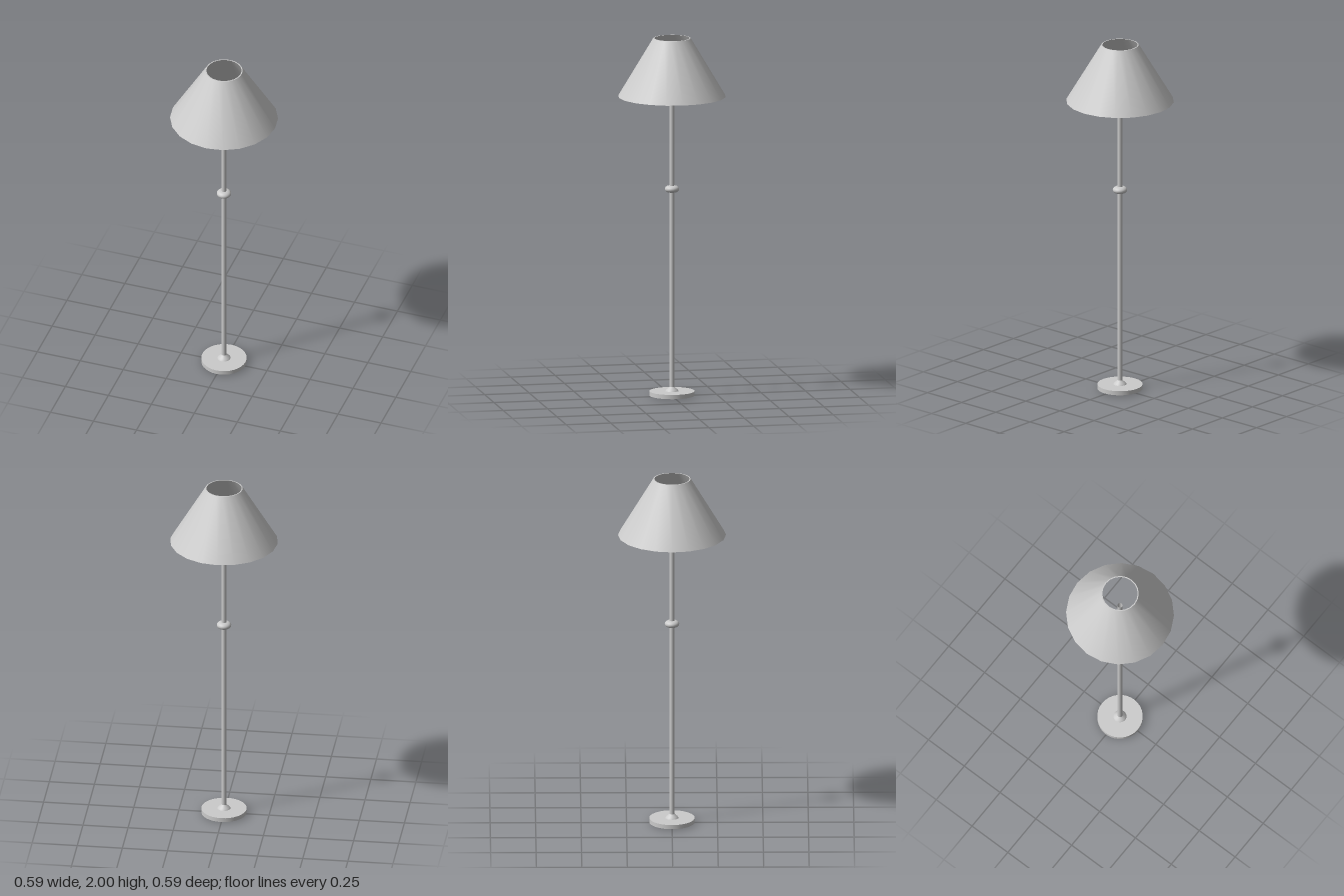
import * as THREE from 'three';
import { mergeGeometries } from 'three/addons/utils/BufferGeometryUtils.js';

// Revolves several profile spans; each span is smooth, the joins between spans stay sharp.
function turned(name, sides, spans) {
  const parts = spans.map((span) =>
    new THREE.LatheGeometry(span.map(([r, y]) => new THREE.Vector2(r, y)), sides));
  const material = new THREE.MeshStandardMaterial({ color: 0xcccccc, side: THREE.DoubleSide });
  const mesh = new THREE.Mesh(mergeGeometries(parts), material);
  mesh.name = name;
  return mesh;
}

export function createModel() {
  const lamp = new THREE.Group();
  lamp.name = 'floorLamp';
  const poleR = 0.014;

  // Flat round foot, with a small opening beneath the pole
  lamp.add(turned('base', 32, [
    [[0.028, 0.004], [0.125, 0.004]],
    [[0.125, 0.004], [0.125, 0.028]],
    [[0.125, 0.028], [0.034, 0.028]],
  ]));

  // Flared collar where the pole meets the foot
  lamp.add(turned('baseCollar', 32, [
    [[0.036, 0.028], [0.031, 0.036], [0.022, 0.043], [poleR, 0.052]],
  ]));

  // Hollow pole, ending inside the shade
  lamp.add(turned('pole', 24, [[[poleR, 0.0], [poleR, 1.81]]]));

  // Rounded knob part way up the pole
  const knob = [];
  for (let i = 0; i <= 12; i++) {
    const a = -Math.PI / 2 + (Math.PI * i) / 12;
    knob.push([poleR + 0.026 * Math.cos(a), 1.157 + 0.019 * Math.sin(a)]);
  }
  lamp.add(turned('knob', 32, [knob]));

  // Conical shade with a thin wall, open at both ends
  lamp.add(turned('shade', 20, [
    [[0.297, 1.675], [0.103, 2.0]],
    [[0.103, 2.0], [0.097, 2.0]],
    [[0.097, 2.0], [0.291, 1.675]],
    [[0.291, 1.675], [0.297, 1.675]],
  ]));

  return lamp;
}
